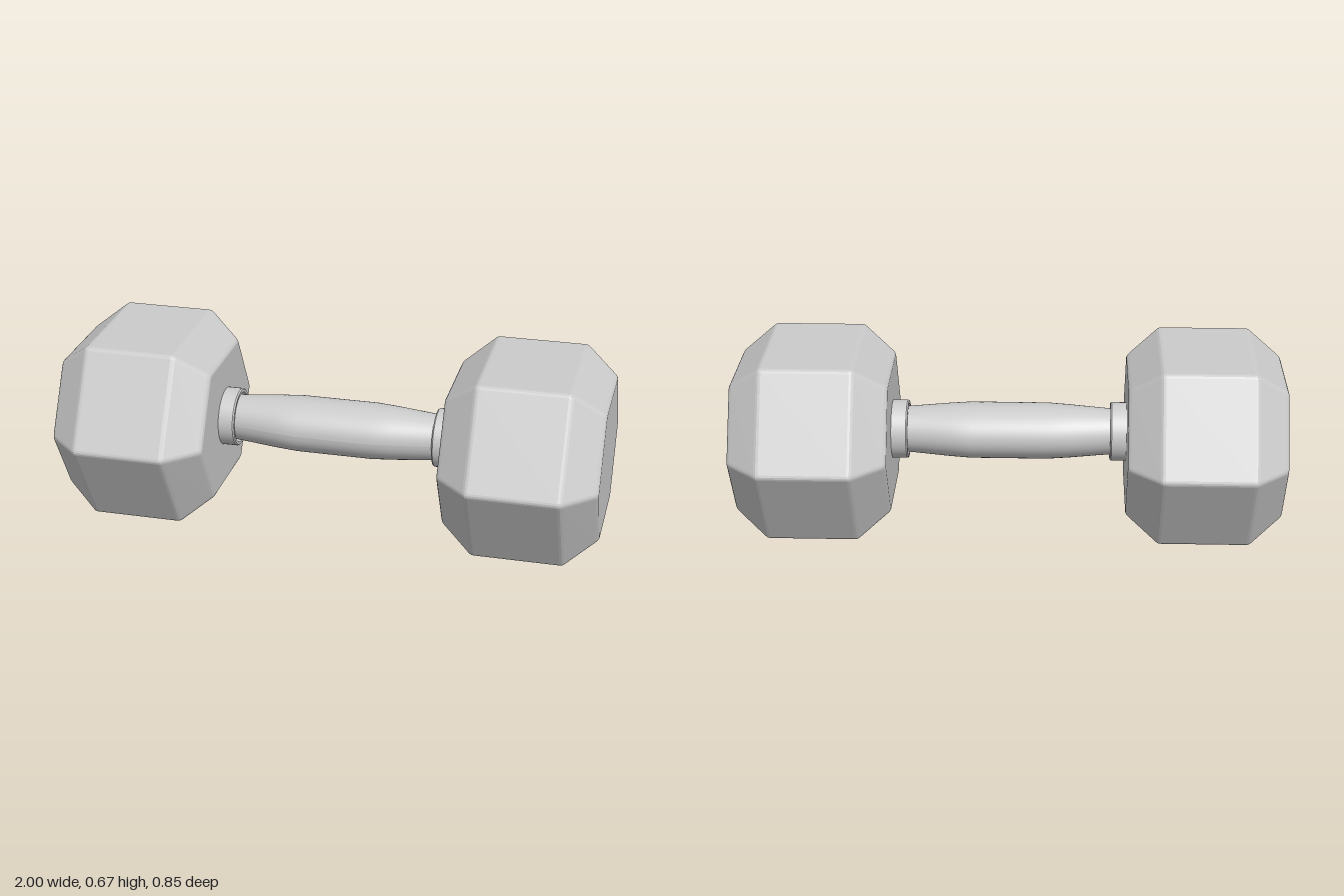
import * as THREE from 'three';

const CY = 0.336; // axis height of the heads
const GY = 0.346; // axis height of the grip

// Hexagon outline [z, y] with slightly softened corners; t = 0 full size, t = 1 end face
function hexSection(t) {
  const p = 0.427 - 0.112 * t, c = 0.236 - 0.059 * t, a = 0.335 - 0.09 * t;
  const corners = [[p, 0], [c, a], [-c, a], [-p, 0], [-c, -a], [c, -a]]
    .map(([z, y]) => new THREE.Vector2(z, y));
  const out = [];
  corners.forEach((v, i) => {
    const toward = (o) => v.clone().add(o.clone().sub(v).setLength(0.012));
    const before = toward(corners[(i + 5) % 6]), after = toward(corners[(i + 1) % 6]);
    const curve = new THREE.QuadraticBezierCurve(before, v, after);
    for (let k = 0; k <= 3; k++) out.push(curve.getPoint(k / 3));
  });
  return out;
}

// Chamfered hexagonal weight, lofted along x
function headGeometry() {
  const half = [[0.156, 0], [0.165, 0.015], [0.173, 0.065], [0.274, 0.91], [0.281, 0.98], [0.285, 1.06]];
  const stations = [...half.map(([x, t]) => [-x, t]).reverse(), ...half];
  const pos = [], idx = [];
  let n = 0;
  for (const [x, t] of stations) {
    const loop = hexSection(t);
    n = loop.length;
    for (const v of loop) pos.push(x, v.y, v.x);
  }
  const last = (stations.length - 1) * n;
  const c0 = pos.length / 3;
  pos.push(-0.285, 0, 0, 0.285, 0, 0);
  for (let j = 0; j < n; j++) {
    const k = (j + 1) % n;
    for (let s = 0; s < last; s += n) {
      idx.push(s + j, s + k, s + n + j, s + k, s + n + k, s + n + j);
    }
    idx.push(c0, k, j, c0 + 1, last + j, last + k);
  }
  // wind faces outward: the solid is convex, so test each face against its centre
  const P = (i) => new THREE.Vector3().fromArray(pos, i * 3);
  for (let i = 0; i < idx.length; i += 3) {
    const [a, b, c] = [P(idx[i]), P(idx[i + 1]), P(idx[i + 2])];
    const normal = b.clone().sub(a).cross(c.clone().sub(a));
    if (normal.dot(a.add(b).add(c)) < 0) [idx[i + 1], idx[i + 2]] = [idx[i + 2], idx[i + 1]];
  }
  const g = new THREE.BufferGeometry();
  g.setAttribute('position', new THREE.Float32BufferAttribute(pos, 3));
  g.setIndex(idx);
  const flat = g.toNonIndexed();
  flat.computeVertexNormals();
  return flat;
}

// Lathe around the x axis from [x, radius] points
function latheX(points, segments) {
  const g = new THREE.LatheGeometry(points.map(([x, r]) => new THREE.Vector2(r, x)), segments);
  return g.rotateZ(-Math.PI / 2);
}

export function createModel() {
  const model = new THREE.Group();
  model.name = 'dumbbell';
  const flatMat = new THREE.MeshStandardMaterial({ color: 0xcccccc, flatShading: true });
  const smoothMat = new THREE.MeshStandardMaterial({ color: 0xcccccc, side: THREE.DoubleSide });

  const add = (name, geometry, material, x, y) => {
    const m = new THREE.Mesh(geometry, material);
    m.name = name;
    m.position.set(x, y, 0);
    model.add(m);
    return m;
  };

  const head = headGeometry();
  // Collar ring, open towards the grip with a shallow recess
  const collar = latheX([
    [0.435, 0.108], [0.376, 0.108], [0.376, 0.108], [0.371, 0.104],
    [0.371, 0.104], [0.371, 0.094], [0.371, 0.094], [0.405, 0.092], [0.405, 0.092], [0.405, 0.06],
  ], 48);

  for (const side of [1, -1]) {
    const label = side > 0 ? 'left' : 'right';
    add(label + 'Weight', head, flatMat, side * 0.715, CY);
    const ring = add(label + 'Collar', collar, smoothMat, 0, GY);
    if (side < 0) ring.rotation.y = Math.PI;
  }

  // Grip: swells to an oval in the middle, round at the ends
  const half = [[0.14, 0.1], [0.22, 0.096], [0.3, 0.09], [0.38, 0.084], [0.435, 0.08]];
  const grip = latheX([...half.map(([x, r]) => [-x, r]).reverse(), ...half], 48);
  const pos = grip.attributes.position;
  for (let i = 0; i < pos.count; i++) {
    const swell = THREE.MathUtils.clamp((0.4 - Math.abs(pos.getX(i))) / 0.26, 0, 1);
    pos.setZ(i, pos.getZ(i) * (1 + 0.22 * swell));
  }
  grip.computeVertexNormals();
  add('grip', grip, smoothMat, 0, GY);

  return model;
}
